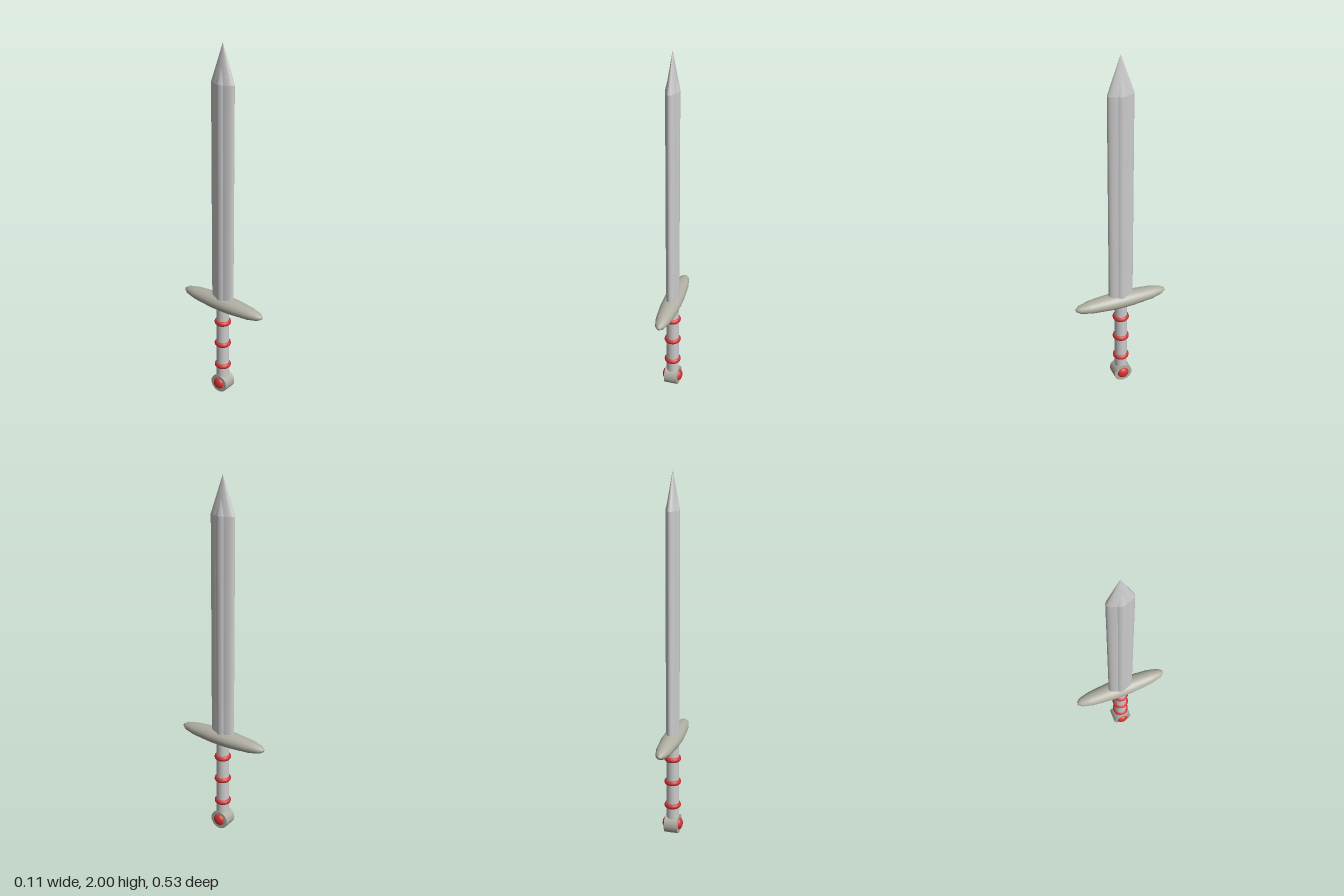
import * as THREE from 'three';

export function createModel() {
  const group = new THREE.Group();
  const steel = new THREE.MeshStandardMaterial({ color: 0xcccccc });
  const bronze = new THREE.MeshStandardMaterial({ color: 0xb0afa2 });
  const red = new THREE.MeshStandardMaterial({ color: 0xd03434 });

  function add(name, geometry, material, x = 0, y = 0, z = 0) {
    const mesh = new THREE.Mesh(geometry, material);
    mesh.name = name;
    mesh.position.set(x, y, z);
    group.add(mesh);
    return mesh;
  }

  // Blade: flattened cylinder with a flattened cone for the point
  const bladeBase = 0.57, shoulder = 1.8, tip = 2;
  const bladeLength = shoulder - bladeBase;
  const blade = new THREE.CylinderGeometry(0.07, 0.07, bladeLength, 40).scale(0.43, 1, 1);
  add('blade', blade, steel, 0, bladeBase + bladeLength / 2, 0);
  const point = new THREE.ConeGeometry(0.07, tip - shoulder, 40, 1, true).scale(0.43, 1, 1);
  add('bladePoint', point, steel, 0, (shoulder + tip) / 2, 0);

  // Round core that shows as a raised rib on both faces of the blade
  add('bladeRib', new THREE.CylinderGeometry(0.037, 0.037, bladeLength, 32),
    steel, 0, bladeBase + bladeLength / 2, 0);
  add('bladeRibPoint', new THREE.ConeGeometry(0.037, 0.155, 32, 1, true), steel, 0, shoulder + 0.0775, 0);

  // Crossguard: spindle lying along z, slightly wider than tall
  const half = [[0.053, 0], [0.052, 0.06], [0.041, 0.18], [0.026, 0.24], [0.009, 0.263], [0, 0.263]];
  const mirrored = half.slice(1).reverse().map(([r, h]) => [r, -h]);
  const profile = [...mirrored, ...half].map(([r, h]) => new THREE.Vector2(r, h));
  const guard = new THREE.LatheGeometry(profile, 32).rotateX(Math.PI / 2).scale(1, 0.83, 1);
  add('crossguard', guard, bronze, 0, 0.567, 0);

  // Grip with three raised bands
  add('grip', new THREE.CylinderGeometry(0.035, 0.035, 0.5, 32), steel, 0, 0.33, 0);
  for (const y of [0.17, 0.312, 0.45]) {
    add('gripBand', new THREE.TorusGeometry(0.031, 0.015, 14, 36).rotateX(Math.PI / 2), red, 0, y, 0);
  }

  // Disc pommel with a domed gem on each side
  add('pommel', new THREE.CylinderGeometry(0.053, 0.053, 0.076, 36).rotateZ(Math.PI / 2), bronze, 0, 0.053, 0);
  for (const side of [-1, 1]) {
    const gem = add('pommelGem', new THREE.SphereGeometry(0.033, 24, 16), red, side * 0.037, 0.055, 0);
    gem.scale.x = 0.6;
  }

  return group;
}
